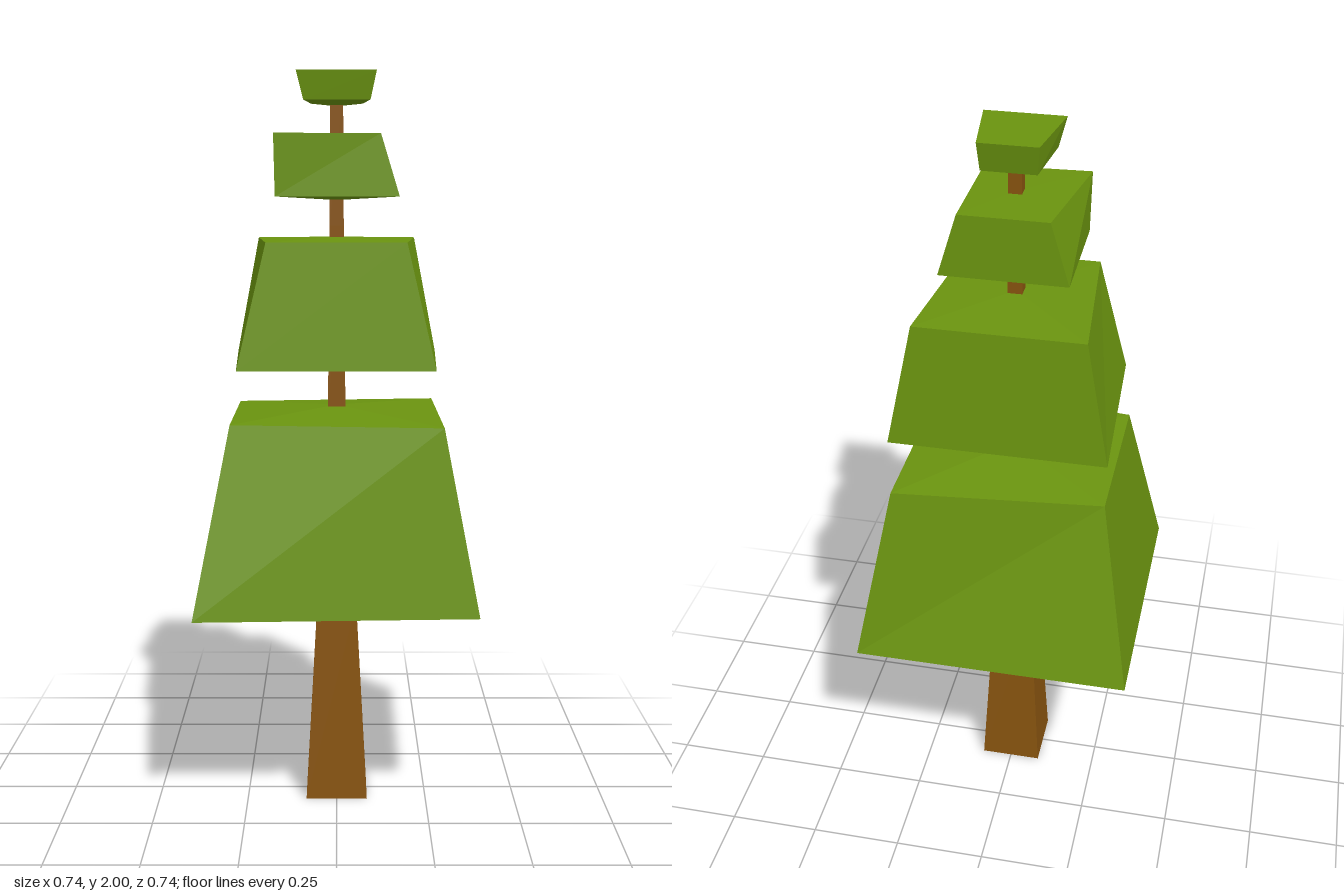
import * as THREE from 'three';

// Closed solid from stacked four-cornered rings, each { y, c: [[x, z] x 4] } with corners
// ordered back-left, back-right, front-right, front-left; the end caps rise to a centre point.
function ringSolid(rings, lowY, highY) {
  const pos = [];
  const tri = (...pts) => pts.forEach((p) => pos.push(...p));
  const pts = rings.map((r) => r.c.map(([x, z]) => [x, r.y, z]));
  const first = pts[0];
  const last = pts[pts.length - 1];
  for (let i = 0; i < 4; i++) {
    const j = (i + 1) % 4;
    for (let k = 0; k + 1 < pts.length; k++) {
      const b = pts[k];
      const t = pts[k + 1];
      tri(b[i], t[i], b[j]);
      tri(t[i], t[j], b[j]);
    }
    tri([0, lowY, 0], first[i], first[j]);
    tri([0, highY, 0], last[j], last[i]);
  }
  const geo = new THREE.BufferGeometry();
  geo.setAttribute('position', new THREE.Float32BufferAttribute(pos, 3));
  geo.computeVertexNormals();
  return geo;
}

const square = (r) => [[-r, -r], [r, -r], [r, r], [-r, r]];

export function createModel() {
  const tree = new THREE.Group();
  tree.name = 'tree';

  const leafGreen = new THREE.MeshStandardMaterial({ color: 0x6a930f, flatShading: true });
  leafGreen.name = 'leafGreen';
  const barkBrown = new THREE.MeshStandardMaterial({ color: 0x87530f, flatShading: true });
  barkBrown.name = 'barkBrown';

  const add = (name, geo, material) => {
    const mesh = new THREE.Mesh(geo, material);
    mesh.name = name;
    tree.add(mesh);
  };

  // Tapering square trunk running up through every tier
  const trunk = [[0, 0.085], [0.56, 0.054], [1.1, 0.024], [1.6, 0.019], [1.95, 0.017]];
  add('trunk', ringSolid(trunk.map(([y, r]) => ({ y, c: square(r) })), 0, 1.95), barkBrown);

  // Irregular foliage blocks, from the ground up
  const tiers = [
    {
      name: 'lowerFoliage', low: 0.555, high: 1.112,
      bottom: { y: 0.6, c: [[-0.372, -0.372], [0.372, -0.372], [0.372, 0.337], [-0.372, 0.37]] },
      top: { y: 1.09, c: [[-0.279, -0.225], [0.278, -0.28], [0.278, 0.277], [-0.279, 0.226]] },
    },
    {
      name: 'middleFoliage', low: 1.224, high: 1.57,
      bottom: { y: 1.234, c: [[-0.286, -0.258], [0.285, -0.258], [0.257, 0.256], [-0.259, 0.256]] },
      top: { y: 1.561, c: [[-0.222, -0.225], [0.22, -0.225], [0.181, 0.22], [-0.182, 0.22]] },
    },
    {
      name: 'upperFoliage', low: 1.667, high: 1.84,
      bottom: { y: 1.677, c: [[-0.164, -0.165], [0.163, -0.165], [0.163, 0.162], [-0.16, 0.157]] },
      top: { y: 1.838, c: [[-0.115, -0.159], [0.114, -0.159], [0.114, 0.148], [-0.163, 0.162]] },
    },
    {
      name: 'tipFoliage', low: 1.913, high: 2,
      bottom: { y: 1.925, c: [[-0.07, -0.092], [0.07, -0.092], [0.088, 0.09], [-0.087, 0.09]] },
      top: { y: 2, c: [[-0.077, -0.107], [0.075, -0.107], [0.104, 0.103], [-0.106, 0.103]] },
    },
  ];
  for (const t of tiers) add(t.name, ringSolid([t.bottom, t.top], t.low, t.high), leafGreen);

  return tree;
}
